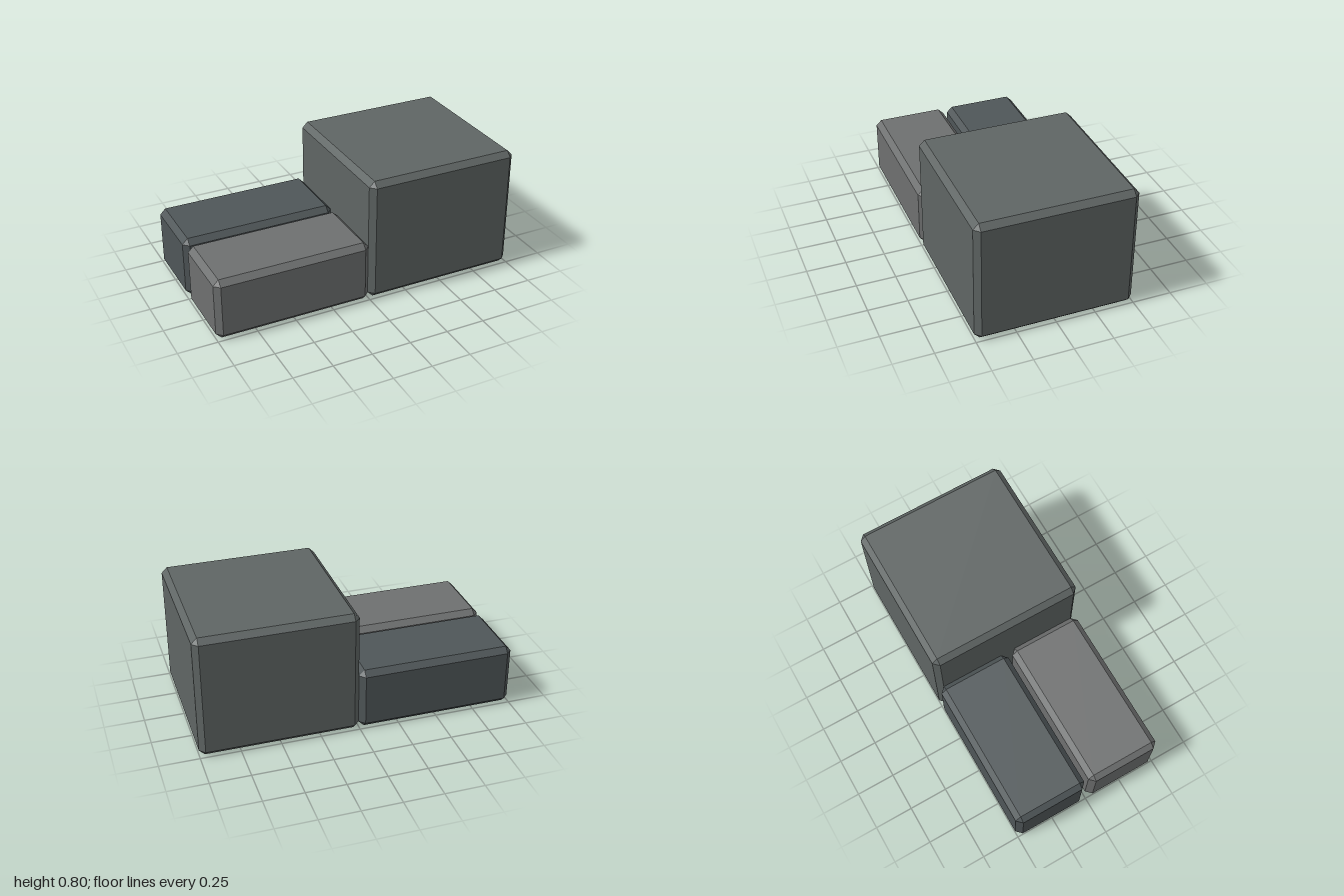
import * as THREE from 'three';
import { ConvexGeometry } from 'three/addons/geometries/ConvexGeometry.js';

const BEVEL = 0.035;

// Box with flat chamfered edges and triangular corners, given by its min and max corners
function chamferedBlock(name, min, max, color) {
  const half = max.map((m, i) => (m - min[i]) / 2);
  const points = [];
  for (const sx of [-1, 1]) for (const sy of [-1, 1]) for (const sz of [-1, 1]) {
    // each corner becomes three points, one on each adjoining face
    for (let face = 0; face < 3; face++) {
      const p = [sx, sy, sz].map((s, i) => s * (half[i] - (i === face ? 0 : BEVEL)));
      points.push(new THREE.Vector3(...p));
    }
  }
  const material = new THREE.MeshStandardMaterial({ color, flatShading: true });
  const mesh = new THREE.Mesh(new ConvexGeometry(points), material);
  mesh.name = name;
  mesh.position.set(...min.map((m, i) => m + half[i]));
  return mesh;
}

export function createModel() {
  const group = new THREE.Group();
  group.name = 'stoneBlocks';
  group.add(
    // tall block filling the whole depth
    chamferedBlock('tallBlock', [0, 0, -0.5], [1, 0.8, 0.5], 0x5f6564),
    // two low blocks side by side with a narrow gap
    chamferedBlock('lowFrontBlock', [-1, 0, 0.015], [0, 0.4, 0.5], 0x6e7070),
    chamferedBlock('lowBackBlock', [-1, 0, -0.5], [0, 0.4, -0.015], 0x4f5658),
  );
  return group;
}
